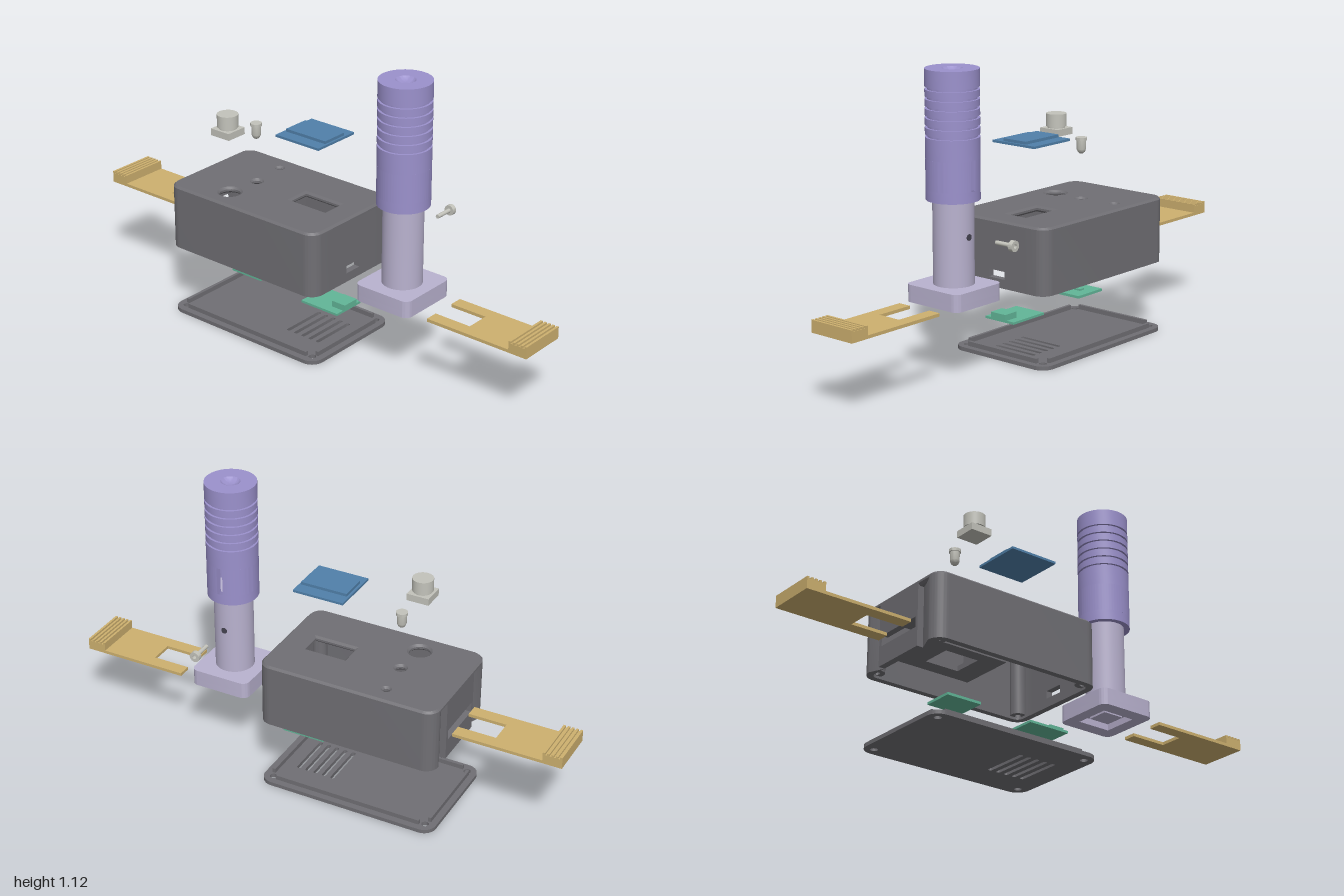
import * as THREE from 'three';
import { toCreasedNormals } from 'three/addons/utils/BufferGeometryUtils.js';

const mat = (name, color, side = THREE.FrontSide) => {
  const m = new THREE.MeshStandardMaterial({ color, side });
  m.name = name;
  return m;
};

export function createModel() {
  const root = new THREE.Group();
  root.name = 'explodedDevice';
  const grey = mat('caseGrey', 0x706f74);
  const purple = mat('gripPurple', 0x9b91cc, THREE.DoubleSide);
  const lilac = mat('stemLilac', 0xb9b2cf);
  const gold = mat('sliderGold', 0xcdb06f);
  const green = mat('boardGreen', 0x62b698);
  const blue = mat('displayBlue', 0x5080aa);
  const silver = mat('metalSilver', 0xc3c3bb);
  const dark = mat('holeDark', 0x454350);

  const group = (name, parent = root) => {
    const g = new THREE.Group();
    g.name = name;
    parent.add(g);
    return g;
  };
  const add = (parent, name, geo, m) => {
    const mesh = new THREE.Mesh(geo, m);
    mesh.name = name;
    parent.add(mesh);
    return mesh;
  };
  // box given by its limits
  const box = (p, name, m, x0, x1, y0, y1, z0, z1) =>
    add(p, name, new THREE.BoxGeometry(x1 - x0, y1 - y0, z1 - z0)
      .translate((x0 + x1) / 2, (y0 + y1) / 2, (z0 + z1) / 2), m);
  const cyl = (p, name, m, r, x, y0, y1, z, n = 40) =>
    add(p, name, new THREE.CylinderGeometry(r, r, y1 - y0, n).translate(x, (y0 + y1) / 2, z), m);
  const lathe = (p, name, m, pts, x, z) =>
    add(p, name, toCreasedNormals(new THREE.LatheGeometry(pts.map(a => new THREE.Vector2(...a)), 56)
      .toNonIndexed(), 0.5).translate(x, 0, z), m);
  // plan shapes are drawn in (x, z) and stood up between two heights
  const slab = (p, name, m, shape, y0, y1, bevel = 0) => {
    const geo = new THREE.ExtrudeGeometry(shape, {
      depth: y1 - y0 - 2 * bevel, curveSegments: 10, bevelEnabled: bevel > 0,
      bevelThickness: bevel, bevelSize: bevel, bevelOffset: -bevel, bevelSegments: 1,
    });
    geo.rotateX(Math.PI / 2).translate(0, y1 - bevel, 0);
    return add(p, name, toCreasedNormals(geo, 0.5), m);
  };
  const rounded = (x0, x1, z0, z1, r, C = THREE.Shape) => {
    const s = new C();
    s.moveTo(x0 + r, z0);
    s.lineTo(x1 - r, z0); s.absarc(x1 - r, z0 + r, r, -Math.PI / 2, 0);
    s.lineTo(x1, z1 - r); s.absarc(x1 - r, z1 - r, r, 0, Math.PI / 2);
    s.lineTo(x0 + r, z1); s.absarc(x0 + r, z1 - r, r, Math.PI / 2, Math.PI);
    s.lineTo(x0, z0 + r); s.absarc(x0 + r, z0 + r, r, Math.PI, Math.PI * 1.5);
    return s;
  };
  const rect = (x0, x1, z0, z1) => new THREE.Path([[x0, z0], [x0, z1], [x1, z1], [x1, z0]]
    .map(a => new THREE.Vector2(...a)));
  const round = (x, z, r) => new THREE.Path().absarc(x, z, r, 0, Math.PI * 2, true);

  const X0 = -0.56, X1 = 0.16, Z0 = -0.2, Z1 = 0.255, R = 0.05, T = 0.025;
  const corners = [[-0.52, -0.16], [0.12, -0.16], [-0.52, 0.215], [0.12, 0.215]];

  // ---- case: roof with openings, two curved wall halves, two slotted end panels
  const body = group('case');
  const roof = rounded(X0, X1, Z0, Z1, R);
  roof.holes.push(round(-0.33, 0.16, 0.04), round(-0.334, -0.128, 0.012),
    round(-0.318, 0.022, 0.019), rect(-0.11, 0.057, -0.022, 0.067));
  slab(body, 'roof', grey, roof, 0.511, 0.535, 0.008);
  const gap0 = -0.09, gap1 = 0.14;
  for (const [zEnd, zGap, name] of [[Z1, gap1, 'frontWall'], [Z0, gap0, 'backWall']]) {
    const d = Math.sign(zEnd - zGap), ri = R - T, cw = d > 0, h = d * Math.PI / 2;
    const s = new THREE.Shape();
    s.moveTo(X0, zGap);
    s.absarc(X0 + R, zEnd - d * R, R, Math.PI, h, cw);
    s.absarc(X1 - R, zEnd - d * R, R, h, 0, cw);
    s.lineTo(X1, zGap); s.lineTo(X1 - T, zGap);
    s.absarc(X1 - R, zEnd - d * R, ri, 0, h, !cw);
    s.absarc(X0 + R, zEnd - d * R, ri, h, Math.PI, !cw);
    s.lineTo(X0 + T, zGap);
    slab(body, name, grey, s, 0.28, 0.52);
  }
  // end panels are drawn in (z, y): port on one side, slider slot on the other
  for (const [x, z0, z1, y0, y1, name] of [
    [X1 - T, -0.008, 0.068, 0.315, 0.345, 'portPanel'], [X0, -0.075, 0.128, 0.355, 0.395, 'sliderPanel']]) {
    const s = rounded(gap0, gap1, 0.28, 0.52, 0.0005);
    s.holes.push(rect(z0, z1, y0, y1));
    add(body, name, new THREE.ExtrudeGeometry(s, { depth: T, bevelEnabled: false })
      .rotateY(-Math.PI / 2).translate(x + T, 0, 0), grey);
  }
  // screw bosses inside the corners
  for (const [x, z] of corners) {
    const s = new THREE.Shape().absarc(x, z, 0.03, 0, Math.PI * 2);
    s.holes.push(round(x, z, 0.012));
    slab(body, 'screwBoss', grey, s, 0.29, 0.515);
  }
  // inner tray carrying the sensor, with a square opening
  const tray = rounded(-0.535, -0.17, gap0, gap1, 0.005);
  tray.holes.push(rect(-0.4, -0.26, -0.03, 0.09));
  slab(body, 'sensorTray', grey, tray, 0.325, 0.345);
  box(body, 'trayWall', grey, -0.19, -0.17, 0.345, 0.515, gap0, gap1);

  // ---- bottom cover: plate, raised rim, pegs and vents
  const cover = group('bottomCover');
  const plate = rounded(X0, X1, Z0, Z1, R);
  for (const [x, z] of corners) plate.holes.push(round(x, z, 0.014));
  for (let i = -2; i <= 2; i++)
    plate.holes.push(rounded(i * 0.036 - 0.019, i * 0.036 - 0.003, -0.07, 0.12, 0.007, THREE.Path));
  slab(cover, 'coverPlate', grey, plate, 0, 0.015);
  for (const z of [Z0 + T, Z1 - T - 0.012]) box(cover, 'longRim', grey, -0.5, 0.1, 0.015, 0.033, z, z + 0.012);
  for (const x of [X0 + T, X1 - T - 0.012]) box(cover, 'shortRim', grey, x, x + 0.012, 0.015, 0.033, -0.14, 0.2);

  // ---- sliders: forked plate with a ridged grip
  const slider = (name, side, y) => {
    const g = group(name);
    const s = new THREE.Shape([[0.575, -0.073], [1, -0.073], [1, 0.123], [0.575, 0.123], [0.575, 0.072],
      [0.725, 0.072], [0.725, -0.022], [0.575, -0.022]].map(([x, z]) => new THREE.Vector2(side * x, z)));
    slab(g, 'forkPlate', gold, s, y, y + 0.012);
    const lim = (a, b) => side > 0 ? [a, b] : [-b, -a];
    box(g, 'grip', gold, ...lim(0.925, 1), y + 0.012, y + 0.038, -0.073, 0.123);
    for (let i = 0; i < 5; i++)
      box(g, 'gripRidge', gold, ...lim(0.925 + i * 0.0165, 0.934 + i * 0.0165), y + 0.038, y + 0.046, -0.073, 0.123);
  };
  slider('leftSlider', 1, 0.28);
  slider('rightSlider', -1, 0.372);

  // ---- handle: foot, stem and ribbed sleeve
  const handle = group('handle');
  const hx = 0.39, hz = 0.03;
  slab(handle, 'footTop', lilac, rounded(0.27, 0.512, -0.097, 0.157, 0.028), 0.305, 0.345);
  const rim = rounded(0.27, 0.512, -0.097, 0.157, 0.028);
  rim.holes.push(rect(hx - 0.07, hx + 0.07, hz - 0.07, hz + 0.07));
  slab(handle, 'footRim', lilac, rim, 0.28, 0.305);
  box(handle, 'footPad', lilac, hx - 0.042, hx + 0.042, 0.29, 0.305, hz - 0.042, hz + 0.042);
  cyl(handle, 'stem', lilac, 0.075, hx, 0.345, 0.685, hz, 56);
  const hole = cyl(handle, 'stemHole', dark, 0.012, 0, -0.003, 0.003, 0, 20);
  hole.rotation.x = Math.PI / 2;
  hole.position.set(hx, 0.525, hz - 0.074);

  const ro = 0.098, ri = 0.0765;
  lathe(handle, 'sleeveCollar', purple, [[ri, 0.695], [ri, 0.655], [ro, 0.655], [ro, 0.695]], hx, hz);
  const ring = new THREE.Shape(), a = 0.12, q = -Math.PI / 2;
  ring.absarc(hx, hz, ro, q + a, q + Math.PI * 2 - a, false);
  ring.absarc(hx, hz, ri, q + Math.PI * 2 - a, q + a, true);
  const slotted = new THREE.ExtrudeGeometry(ring, { depth: 0.11, curveSegments: 56, bevelEnabled: false });
  slotted.rotateX(Math.PI / 2).translate(0, 0.805, 0);
  add(handle, 'slottedSleeve', toCreasedNormals(slotted, 0.5), purple);
  const prof = [[0, 1.02], [ri, 1.02], [ri, 0.805], [ro, 0.805]];
  for (let i = 0; i < 6; i++) {
    const y = 0.882 + i * 0.034;
    prof.push([ro, y], [ro - 0.009, y], [ro - 0.009, y + 0.009], [ro, y + 0.009]);
  }
  prof.push([ro, 1.125], [0.037, 1.125], [0.028, 1.116], [0.015, 1.111], [0, 1.11]);
  lathe(handle, 'ribbedSleeve', purple, prof, hx, hz);

  // ---- set screw behind the handle
  const screw = group('setScrew');
  cyl(screw, 'screwShaft', silver, 0.008, 0, 0, 0.07, 0, 20);
  const head = new THREE.Shape().absarc(0, 0, 0.02, 0, Math.PI * 2);
  head.holes.push(round(0, 0, 0.008));
  slab(screw, 'screwHead', silver, head, -0.018, 0);
  screw.rotation.x = Math.PI / 2;
  screw.position.set(hx, 0.528, -0.245);

  // ---- push button and lamp
  const button = group('pushButton');
  box(button, 'buttonBase', silver, -0.378, -0.29, 0.766, 0.793, 0.116, 0.204);
  cyl(button, 'buttonNeck', silver, 0.034, -0.334, 0.793, 0.8, 0.16);
  cyl(button, 'buttonCap', silver, 0.04, -0.334, 0.8, 0.849, 0.16);
  const lamp = [[0, 0.71], [0.008, 0.712], [0.014, 0.718], [0.018, 0.728], [0.018, 0.763],
    [0.022, 0.763], [0.022, 0.774], [0, 0.774]];
  lathe(group('lamp'), 'lampBody', silver, lamp, -0.318, 0.022);

  // ---- display
  const display = group('display');
  box(display, 'displayBoard', blue, -0.13, 0.074, 0.8, 0.809, -0.078, 0.124);
  box(display, 'displayPanel', blue, -0.12, 0.066, 0.809, 0.82, -0.03, 0.077);

  // ---- circuit boards
  const boards = group('circuitBoards');
  box(boards, 'sensorBoard', green, -0.39, -0.245, 0.16, 0.17, -0.028, 0.091);
  box(boards, 'sensorChip', green, -0.332, -0.306, 0.17, 0.177, 0.015, 0.045);
  box(boards, 'chargerBoard', green, -0.03, 0.143, 0.145, 0.154, -0.037, 0.101);
  box(boards, 'chargerPort', green, 0.09, 0.152, 0.154, 0.178, -0.004, 0.066);
  return root;
}
